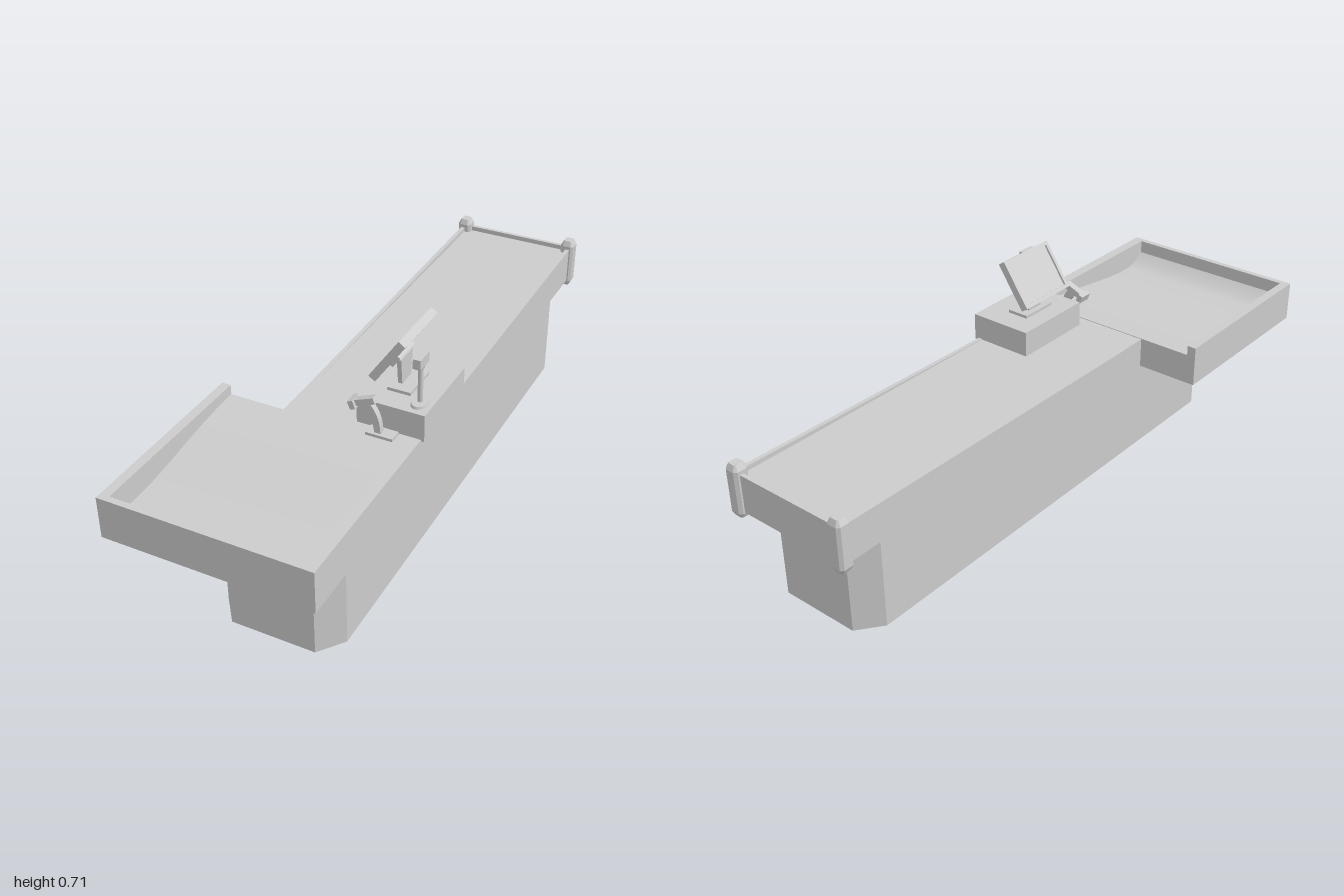
import * as THREE from 'three';
import { toCreasedNormals } from 'three/addons/utils/BufferGeometryUtils.js';

const mat = new THREE.MeshStandardMaterial({ color: 0xcccccc });

export function createModel() {
  const root = new THREE.Group();
  root.name = 'checkoutCounter';

  const add = (name, geo, parent = root) => {
    const m = new THREE.Mesh(geo, mat);
    m.name = name;
    parent.add(m);
    return m;
  };
  // Box given by its limits on each axis
  const box = (name, [x0, x1], [y0, y1], [z0, z1], parent = root) => {
    const m = add(name, new THREE.BoxGeometry(x1 - x0, y1 - y0, z1 - z0), parent);
    m.position.set((x0 + x1) / 2, (y0 + y1) / 2, (z0 + z1) / 2);
    return m;
  };
  const poly = pts => new THREE.Shape(pts.map(p => new THREE.Vector2(...p)));
  const extrude = (shape, depth, opts = {}) =>
    new THREE.ExtrudeGeometry(shape, { depth, bevelEnabled: false, ...opts });
  // Profile drawn in (z, y), swept from x0 to x1
  const sweepX = (name, shape, x0, x1) => {
    const m = add(name, toCreasedNormals(extrude(shape, x1 - x0), 0.4));
    m.rotation.y = -Math.PI / 2;
    m.position.x = x1;
    return m;
  };
  // Rectangle with cut corners
  const cutRect = (x0, x1, y0, y1, cx, cy) => poly([
    [x0 + cx, y0], [x1 - cx, y0], [x1, y0 + cy], [x1, y1 - cy],
    [x1 - cx, y1], [x0 + cx, y1], [x0, y1 - cy], [x0, y0 + cy]]);

  // Pedestal with chamfered corners (shape y becomes -z)
  const base = add('pedestal', extrude(cutRect(-0.1, 0.29, -0.84, 0.905, 0.06, 0.077), 0.325));
  base.rotation.x = -Math.PI / 2;

  // Conveyor body, belt level, and rails that rise toward the back
  box('conveyorBody', [-0.12, 0.305], [0.315, 0.425], [-0.985, 0.385]);
  const rail = poly([[-0.985, 0.42], [0.22, 0.42], [0.22, 0.425], [-0.985, 0.441]]);
  sweepX('rightSideRail', rail, -0.12, -0.106);
  sweepX('leftSideRail', rail, 0.291, 0.305);
  box('endRail', [-0.12, 0.305], [0.42, 0.441], [-0.985, -0.972]);

  // Bevelled corner bumpers
  for (const x of [-0.109, 0.295]) {
    const geo = extrude(cutRect(-0.015, 0.015, -0.016, 0.016, 0.004, 0.004), 0.139, {
      bevelEnabled: true, bevelSegments: 1, bevelSize: 0.009, bevelThickness: 0.018 });
    const post = add('cornerBumper', geo);
    post.rotation.x = -Math.PI / 2;
    post.position.set(x, 0.313, -0.975);
  }

  // Bagging tray: dished floor inside three walls
  const floor = new THREE.Shape();
  floor.moveTo(0.98, 0.325);
  floor.lineTo(0.98, 0.415);
  floor.quadraticCurveTo(0.94, 0.385, 0.905, 0.38);
  floor.bezierCurveTo(0.75, 0.372, 0.6, 0.425, 0.38, 0.427);
  floor.lineTo(0.38, 0.325);
  sweepX('trayFloor', floor, -0.3, 0.295);
  box('trayRightWall', [-0.33, -0.3], [0.325, 0.46], [0.38, 1]);
  box('trayLeftWall', [0.295, 0.33], [0.325, 0.46], [0.38, 1]);
  box('trayFrontWall', [-0.3, 0.295], [0.325, 0.46], [0.98, 1]);

  // Register block
  box('registerBlock', [0.103, 0.32], [0.42, 0.51], [0.05, 0.335]);

  // Monitor stand
  box('monitorFoot', [0.165, 0.24], [0.51, 0.52], [0.13, 0.26]);
  const stem = add('monitorStem', extrude(poly([
    [-0.03, 0], [0.03, 0], [0.04, 0.085], [-0.04, 0.085]]), 0.014));
  stem.rotation.y = -Math.PI / 2;
  stem.position.set(0.197, 0.52, 0.195);

  // Tilted monitor: local y runs up the screen, local -x is the viewing side
  const monitor = new THREE.Group();
  monitor.name = 'monitor';
  monitor.position.set(0.184, 0.636, 0.195);
  monitor.rotation.z = -0.6;
  root.add(monitor);
  box('monitorShell', [-0.006, 0.013], [-0.084, 0.084], [-0.11, 0.11], monitor);
  box('monitorMount', [0.013, 0.023], [-0.05, -0.008], [-0.05, 0.05], monitor);
  const bezelShape = poly([[-0.11, -0.084], [0.11, -0.084], [0.11, 0.084], [-0.11, 0.084]]);
  bezelShape.holes.push(poly([[-0.098, -0.072], [-0.098, 0.072], [0.098, 0.072], [0.098, -0.072]]));
  const bezel = add('monitorBezel', extrude(bezelShape, 0.008), monitor);
  bezel.rotation.y = -Math.PI / 2;
  bezel.position.x = -0.005;

  // Customer display on a pole
  const pole = new THREE.Group();
  pole.name = 'customerDisplay';
  pole.position.set(0.28, 0.51, 0.28);
  root.add(pole);
  const foot = add('displayFoot', new THREE.CylinderGeometry(0.024, 0.026, 0.008, 32), pole);
  foot.position.y = 0.004;
  foot.scale.z = 1.4;
  const rod = add('displayRod', new THREE.CylinderGeometry(0.008, 0.008, 0.12, 24), pole);
  rod.position.y = 0.065;
  const neck = add('displayNeck', new THREE.CylinderGeometry(0.0165, 0.011, 0.014, 4, 1).toNonIndexed(), pole);
  neck.geometry.rotateY(Math.PI / 4);
  neck.geometry.computeVertexNormals();
  neck.position.y = 0.125;
  box('displayHead', [-0.012, 0.012], [0.13, 0.162], [-0.03, 0.03], pole);

  // Hand scanner in a curved holder
  box('scannerFoot', [0.155, 0.242], [0.425, 0.436], [0.342, 0.385]);
  const arm = new THREE.Shape();
  arm.moveTo(0.2, 0.43);
  arm.quadraticCurveTo(0.2, 0.495, 0.165, 0.53);
  arm.lineTo(0.14, 0.515);
  arm.quadraticCurveTo(0.178, 0.49, 0.18, 0.43);
  const armMesh = add('scannerArm', toCreasedNormals(extrude(arm, 0.02), 0.5));
  armMesh.position.z = 0.355;
  const head = new THREE.Group();
  head.name = 'scannerHead';
  head.position.set(0.148, 0.531, 0.365);
  head.rotation.z = 0.38;
  root.add(head);
  box('scannerGrip', [-0.03, 0.034], [-0.01, 0.01], [-0.012, 0.012], head);
  box('scannerNose', [-0.048, -0.03], [-0.014, 0.013], [-0.022, 0.022], head);

  return root;
}
